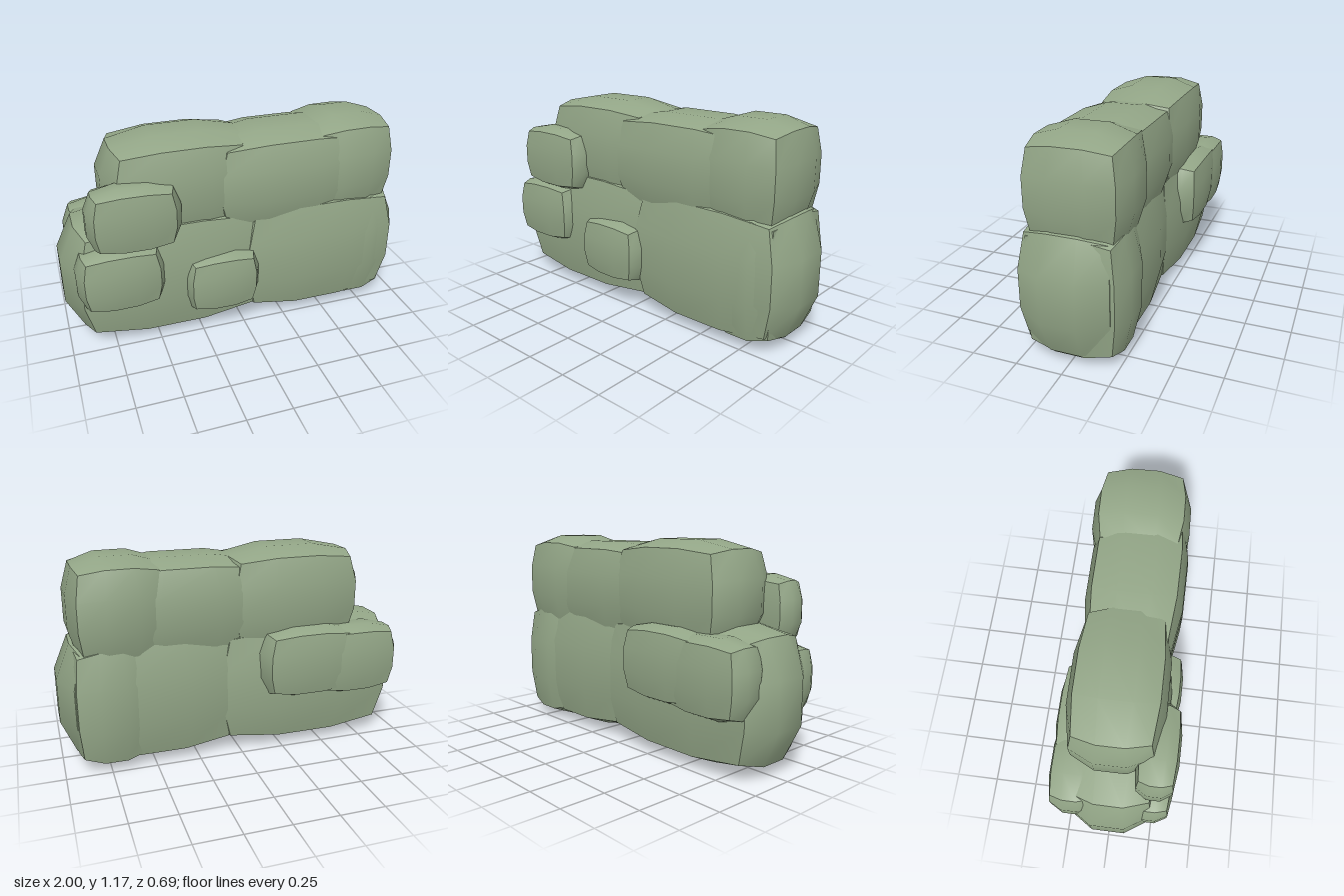
import * as THREE from 'three';

const material = new THREE.MeshStandardMaterial({ color: 0x93a687 });

// A stone: a 3x3x3 box blended partly to a sphere, so faces bulge and corners draw in.
// Box faces keep their own vertices, so each face is smooth and the edges stay sharp.
function stone(name, [x0, x1], [y0, y1], [z0, z1], tilt = [0, 0, 0]) {
  const geometry = new THREE.BoxGeometry(2, 2, 2, 3, 3, 3);
  const pos = geometry.attributes.position;
  const v = new THREE.Vector3();
  const blend = 0.66;
  const pull = (length) => 1 - blend + blend / length;
  const reach = pull(Math.sqrt(11 / 9)); // the face's middle vertices touch the given limits
  for (let i = 0; i < pos.count; i++) {
    v.fromBufferAttribute(pos, i);
    v.multiplyScalar(pull(v.length()) / reach);
    pos.setXYZ(i, v.x * (x1 - x0) / 2, v.y * (y1 - y0) / 2, v.z * (z1 - z0) / 2);
  }
  geometry.computeVertexNormals();
  const mesh = new THREE.Mesh(geometry, material);
  mesh.name = name;
  mesh.position.set((x0 + x1) / 2, (y0 + y1) / 2, (z0 + z1) / 2);
  mesh.rotation.set(...tilt);
  return mesh;
}

export function createModel() {
  const group = new THREE.Group();
  group.name = 'stoneWall';
  group.add(
    // Lower course
    stone('lowerLeftStone', [-1, 0.2], [0.01, 0.77], [-0.275, 0.28]),
    stone('lowerMiddleStone', [-0.05, 1], [0.01, 0.765], [-0.27, 0.295]),
    stone('lowerEndStone', [0.5, 0.945], [0, 0.75], [-0.29, 0.28]),
    // Upper course
    stone('upperLeftStone', [-0.745, 0.1], [0.6, 1.167], [-0.265, 0.25], [0, 0.01, 0]),
    stone('upperMiddleStone', [-0.2, 0.77], [0.6, 1.14], [-0.255, 0.275]),
    stone('upperEndStone', [0.39, 0.925], [0.605, 1.167], [-0.28, 0.265], [0, 0.03, 0]),
    // Small stones on the front
    stone('frontTopStone', [-0.855, -0.36], [0.62, 0.987], [0.12, 0.345], [0, 0, -0.01]),
    stone('frontSideStone', [-0.935, -0.46], [0.275, 0.645], [0.09, 0.345], [0, 0, 0.01]),
    stone('frontLowStone', [-0.355, 0.08], [0.155, 0.51], [0.1, 0.342], [0, 0, -0.01]),
    // Small stones on the back
    stone('backSideStone', [-0.945, -0.42], [0.305, 0.715], [-0.345, -0.07]),
    stone('backInnerStone', [-0.68, -0.1], [0.325, 0.735], [-0.35, -0.08])
  );
  return group;
}
